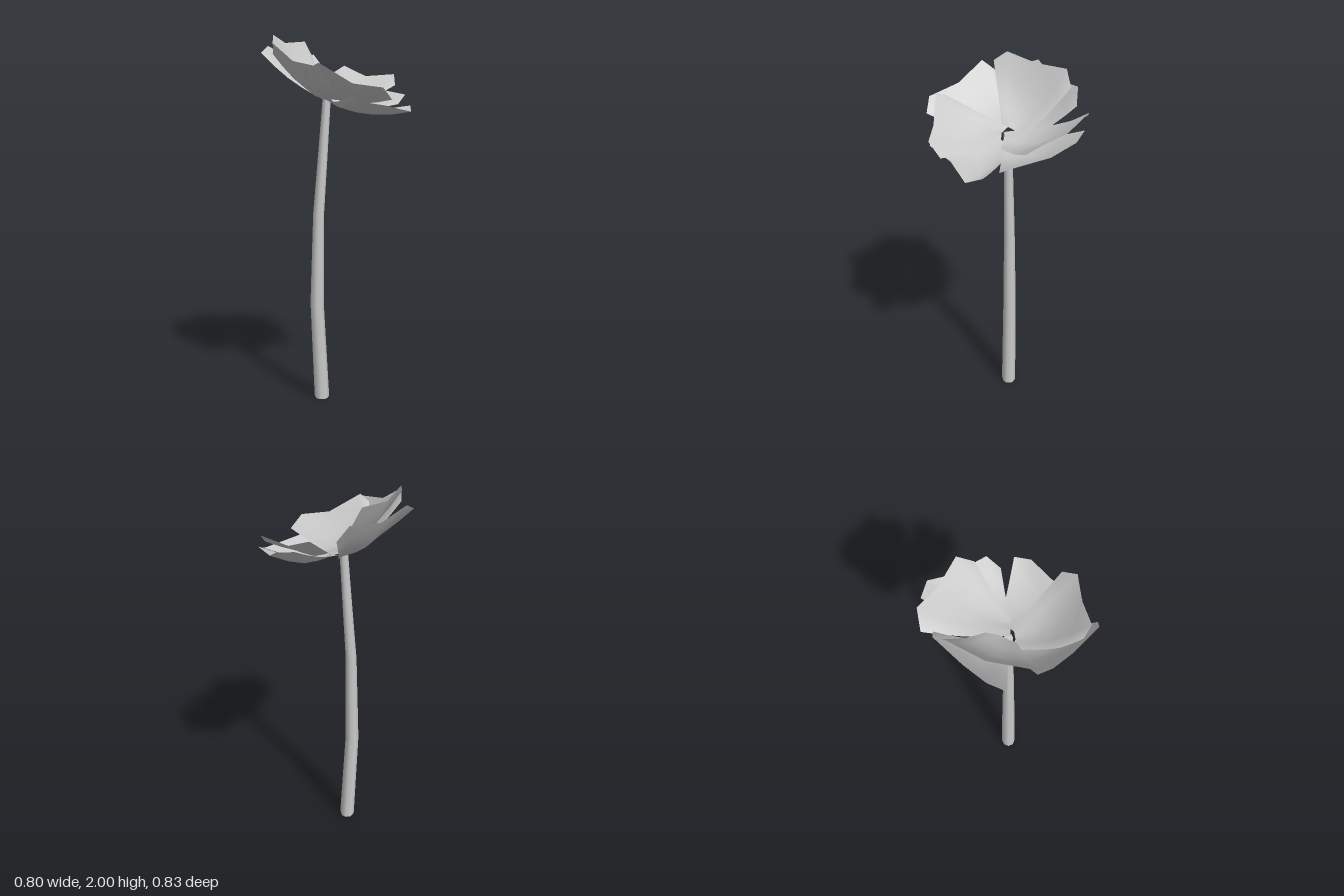
import * as THREE from 'three';

const V = (a) => new THREE.Vector3(...a);
const axis = new THREE.Vector3(0.37, 0.93, 0); // direction the tilted bloom faces

// Cupped petal: rows of points swept from a short base edge to a five-point rim
function petalGeometry(base, rim, sag) {
  const rows = 4, cols = rim.length;
  const [b0, b1] = base.map(V);
  const pos = [], index = [];
  for (let r = 0; r <= rows; r++) {
    const t = r / rows;
    for (let c = 0; c < cols; c++) {
      const s = c / (cols - 1);
      const p = b0.clone().lerp(b1, s).lerp(V(rim[c]), t);
      const belly = Math.sin(Math.PI * t) * (0.4 + 0.6 * Math.sin(Math.PI * s));
      p.addScaledVector(axis, -sag * belly);
      pos.push(p.x, p.y, p.z);
      if (r < rows && c < cols - 1) {
        const a = r * cols + c, d = a + cols;
        index.push(a, a + 1, d, a + 1, d + 1, d);
      }
    }
  }
  const g = new THREE.BufferGeometry();
  g.setAttribute('position', new THREE.Float32BufferAttribute(pos, 3));
  g.setIndex(index);
  g.computeVertexNormals();
  return g;
}

// Bent, tapering stem: each ring is [centre x, y, radius]
function stemGeometry() {
  const rings = [[-0.08, 0, 0.037], [-0.08, 0.015, 0.041], [-0.105, 0.55, 0.037],
    [-0.095, 1.05, 0.03], [-0.072, 1.36, 0.026], [-0.05, 1.67, 0.022]];
  const n = rings.length - 1;
  const g = new THREE.CylinderGeometry(1, 1, 1, 8, n);
  const p = g.attributes.position;
  for (let i = 0; i < p.count; i++) {
    const [x, y, r] = rings[Math.round((p.getY(i) + 0.5) * n)];
    p.setXYZ(i, x + p.getX(i) * r, y, p.getZ(i) * r);
  }
  return g;
}

// Three inner petals and four outer ones: base edge, then rim
const innerPetals = [
  { base: [[-0.045, 1.68, 0.01], [0.07, 1.64, 0.01]], // back right
    rim: [[-0.07, 1.79, -0.4], [0.025, 1.85, -0.415], [0.15, 1.79, -0.33], [0.31, 1.8, -0.245], [0.315, 1.74, -0.16]] },
  { base: [[-0.09, 1.7, 0.04], [-0.02, 1.68, -0.09]], // left side
    rim: [[-0.32, 1.95, 0.13], [-0.325, 2.0, 0.06], [-0.28, 1.965, -0.1], [-0.19, 1.98, -0.27], [-0.15, 1.9, -0.3]] },
  { base: [[0.03, 1.66, 0.02], [-0.12, 1.7, 0.04]], // front
    rim: [[0.295, 1.67, 0.26], [0.25, 1.73, 0.33], [0.1, 1.75, 0.345], [-0.065, 1.85, 0.375], [-0.14, 1.81, 0.325]] },
];
const outerPetals = [
  { base: [[-0.1, 1.68, 0], [-0.04, 1.65, -0.1]], // back left
    rim: [[-0.4, 1.91, -0.01], [-0.375, 1.95, -0.095], [-0.27, 1.89, -0.2], [-0.145, 1.91, -0.335], [-0.085, 1.83, -0.34]] },
  { base: [[-0.04, 1.66, -0.06], [0.06, 1.63, 0.01]], // back right
    rim: [[0.1, 1.79, -0.405], [0.2, 1.77, -0.38], [0.26, 1.71, -0.27], [0.37, 1.69, -0.105], [0.33, 1.64, -0.035]] },
  { base: [[0.05, 1.63, -0.04], [-0.04, 1.66, 0.06]], // front right
    rim: [[0.395, 1.635, 0.03], [0.395, 1.605, 0.115], [0.26, 1.64, 0.22], [0.15, 1.66, 0.355], [0.09, 1.69, 0.34]] },
  { base: [[-0.01, 1.65, 0.06], [-0.1, 1.68, 0.01]], // front left
    rim: [[-0.01, 1.76, 0.412], [-0.065, 1.83, 0.41], [-0.2, 1.86, 0.29], [-0.31, 1.95, 0.19], [-0.32, 1.9, 0.125]] },
];

export function createModel() {
  const group = new THREE.Group();
  group.name = 'flower';
  const solid = new THREE.MeshStandardMaterial({ color: 0xcccccc });
  const thin = new THREE.MeshStandardMaterial({ color: 0xcccccc, side: THREE.DoubleSide });

  const stem = new THREE.Mesh(stemGeometry(), solid);
  stem.name = 'stem';
  group.add(stem);

  const addPetals = (list, name, sag) => list.forEach(({ base, rim }, i) => {
    const petal = new THREE.Mesh(petalGeometry(base, rim, sag), thin);
    petal.name = `${name}${i + 1}`;
    group.add(petal);
  });
  addPetals(innerPetals, 'innerPetal', 0.045);
  addPetals(outerPetals, 'outerPetal', 0.045);
  return group;
}
